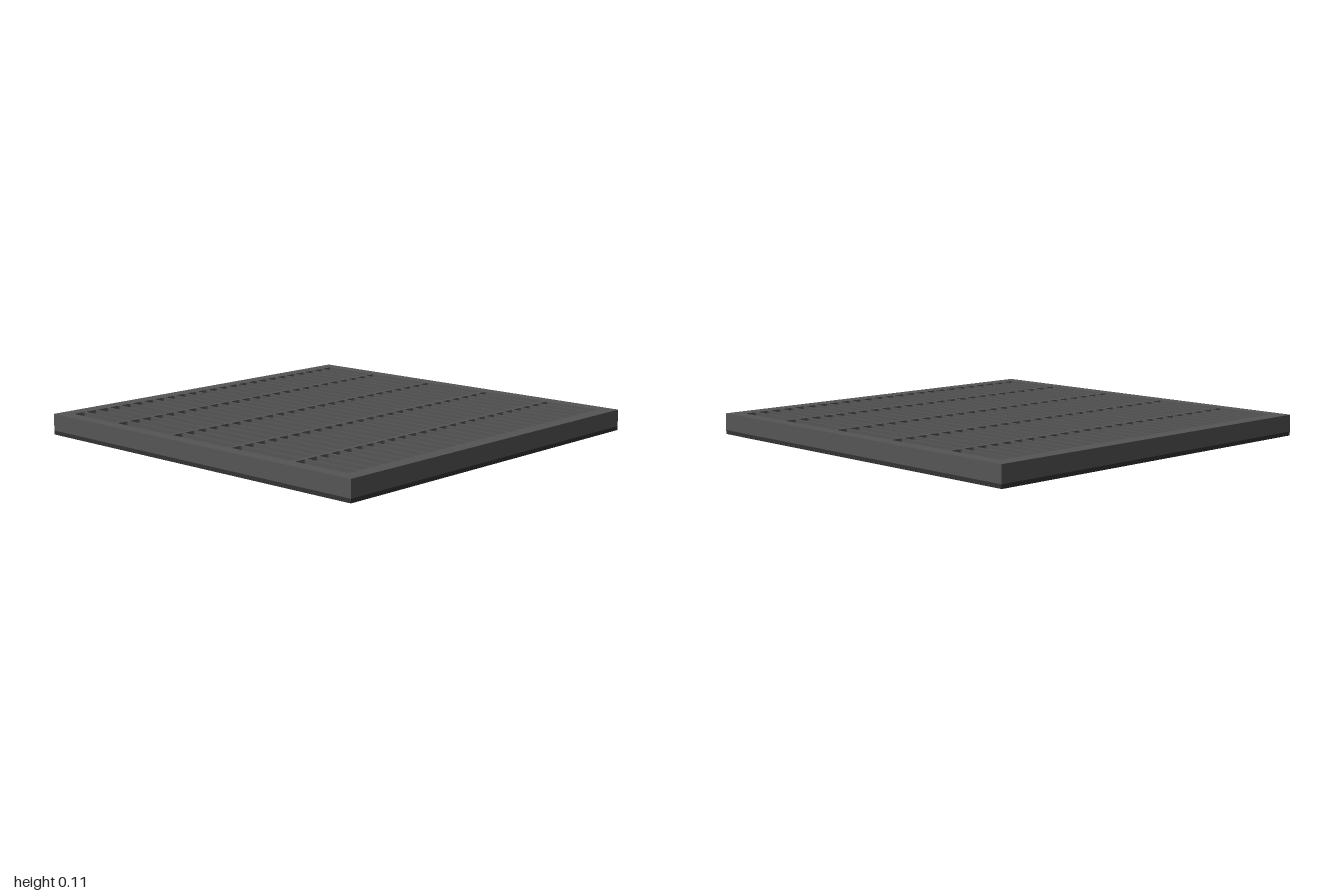
import * as THREE from 'three';

const BASE_H = 0.02, TOP = 0.105, PITCH = 0.075, ROWS = 25;
// left and right edges of the five slot columns
const COLUMNS = [[-0.925, -0.61], [-0.59, -0.21], [-0.19, 0.19], [0.21, 0.59], [0.61, 0.925]];

const material = (name, color) => {
  const m = new THREE.MeshStandardMaterial({ color });
  m.name = name;
  return m;
};

// slot outline with small rounded corners
function slotPath(x0, x1, y0, y1, r = 0.01) {
  const p = new THREE.Path();
  p.moveTo(x0 + r, y0);
  p.lineTo(x1 - r, y0);
  p.quadraticCurveTo(x1, y0, x1, y0 + r);
  p.lineTo(x1, y1 - r);
  p.quadraticCurveTo(x1, y1, x1 - r, y1);
  p.lineTo(x0 + r, y1);
  p.quadraticCurveTo(x0, y1, x0, y1 - r);
  p.lineTo(x0, y0 + r);
  p.quadraticCurveTo(x0, y0, x0 + r, y0);
  return p;
}

export function createModel() {
  const grey = material('grey metal', 0x555555);
  const dark = material('dark metal', 0x333333);
  const glow = material('pale light', 0xb4d2ce);
  const group = new THREE.Group();
  group.name = 'ventGrate';

  const add = (name, geometry, mat, x, y, z) => {
    const mesh = new THREE.Mesh(geometry, mat);
    mesh.name = name;
    mesh.position.set(x, y, z);
    group.add(mesh);
    return mesh;
  };

  // base plate, also the floor seen through the slots
  add('basePlate', new THREE.BoxGeometry(2, BASE_H, 2), dark, 0, BASE_H / 2, 0);

  // frame and grille bars, one plate pierced by rows of slots
  const plate = new THREE.Shape([[-1, -1], [1, -1], [1, 1], [-1, 1]].map(([x, y]) => new THREE.Vector2(x, y)));
  for (let row = 0; row < ROWS; row++) {
    const z = (row - (ROWS - 1) / 2) * PITCH;
    for (const [x0, x1] of COLUMNS) plate.holes.push(slotPath(x0, x1, z - 0.032, z + 0.032));
  }
  const grille = new THREE.ExtrudeGeometry(plate, { depth: TOP - BASE_H, bevelEnabled: false, curveSegments: 2 });
  grille.rotateX(-Math.PI / 2);
  add('grille', grille, grey, 0, BASE_H, 0);

  // light strips lying in the middle row of slots
  COLUMNS.forEach(([x0, x1], i) => {
    const a = x0 + (i === 0 ? 0.018 : 0.005), b = x1 - (i === 4 ? 0.018 : 0.005);
    add('lightStrip', new THREE.BoxGeometry(b - a, 0.008, 0.044), glow, (a + b) / 2, BASE_H + 0.004, 0);
  });

  return group;
}
